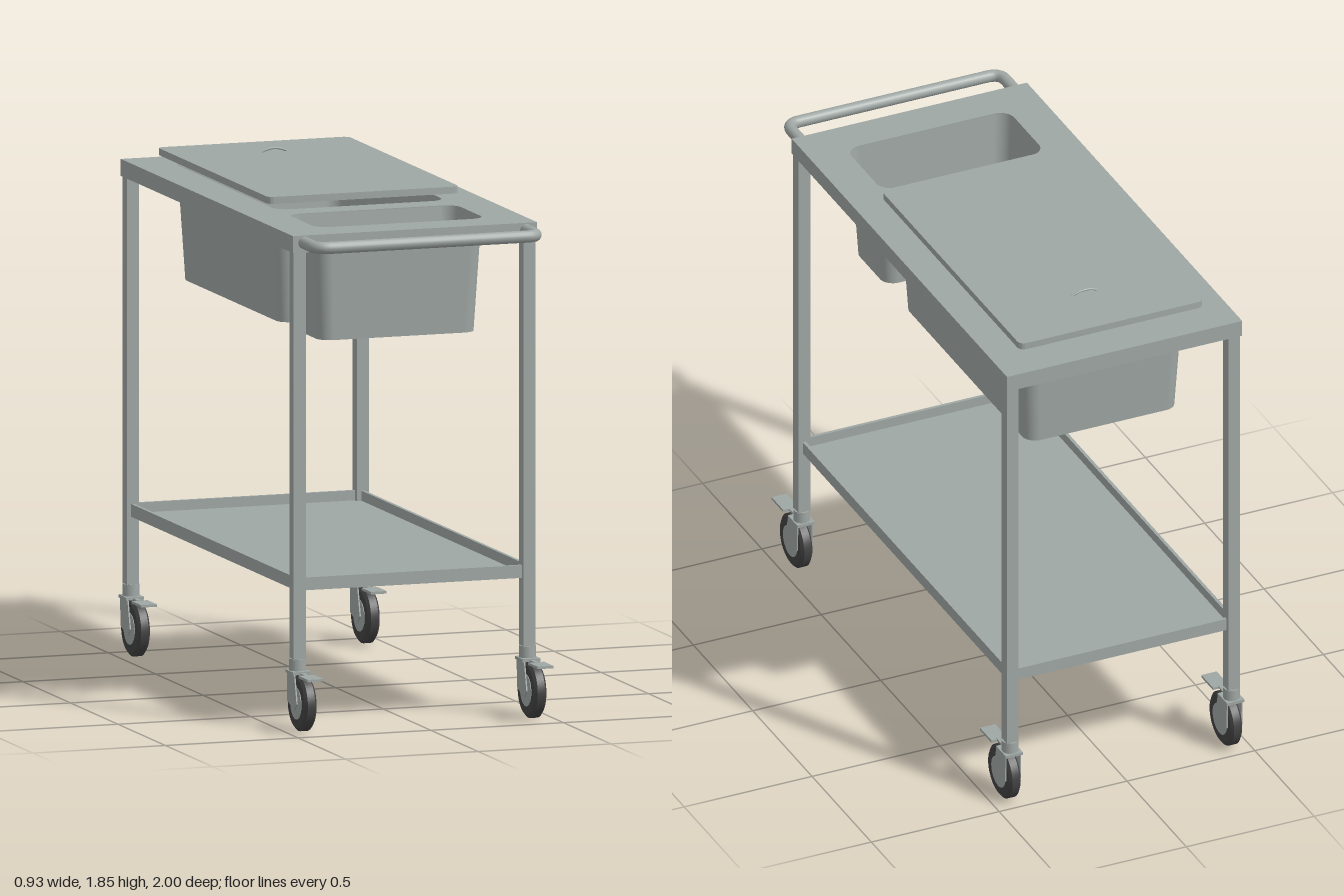
import * as THREE from 'three';
import { toCreasedNormals } from 'three/addons/utils/BufferGeometryUtils.js';

const steel = new THREE.MeshStandardMaterial({ color: 0x9fa7a4 });
steel.name = 'steel';
const sheet = new THREE.MeshStandardMaterial({ color: 0x9fa7a4, side: THREE.DoubleSide });
sheet.name = 'sheet steel';
const rubber = new THREE.MeshStandardMaterial({ color: 0x424242 });
rubber.name = 'rubber';

function add(parent, name, geometry, material = steel) {
  const mesh = new THREE.Mesh(geometry, material);
  mesh.name = name;
  parent.add(mesh);
  return mesh;
}

// Box given by its minimum and maximum on each axis
function block(x0, x1, y0, y1, z0, z1) {
  return new THREE.BoxGeometry(x1 - x0, y1 - y0, z1 - z0)
    .translate((x0 + x1) / 2, (y0 + y1) / 2, (z0 + z1) / 2);
}

// Rounded rectangle in plan; its y runs along -z so that it can be laid flat
function plan(hx, z0, z1, r, Type = THREE.Shape) {
  const s = new Type();
  const a = -z1, b = -z0;
  s.absarc(hx - r, a + r, r, -Math.PI / 2, 0);
  s.absarc(hx - r, b - r, r, 0, Math.PI / 2);
  s.absarc(-hx + r, b - r, r, Math.PI / 2, Math.PI);
  s.absarc(-hx + r, a + r, r, Math.PI, Math.PI * 1.5);
  s.closePath();
  return s;
}

function plate(shape, y0, y1) {
  const g = new THREE.ExtrudeGeometry(shape, { depth: y1 - y0, bevelEnabled: false, curveSegments: 8 });
  g.rotateX(-Math.PI / 2).translate(0, y0, 0);
  return toCreasedNormals(g, 0.6);
}

// Tapered sheet bin: walls lofted between two rounded rectangles, plus a floor
function bin(name, z0, z1) {
  const group = new THREE.Group();
  group.name = name;
  const top = plan(0.318, z0, z1, 0.055).getPoints(8);
  const base = plan(0.295, z0 + 0.023, z1 - 0.023, 0.05);
  const bottom = base.getPoints(8);
  const yTop = 1.773, yBase = 1.365;
  const pos = [], index = [];
  const n = top.length;
  for (let i = 0; i < n; i++) {
    pos.push(bottom[i].x, yBase, -bottom[i].y, top[i].x, yTop, -top[i].y);
    const a = 2 * i, b = 2 * ((i + 1) % n);
    index.push(a, b, b + 1, a, b + 1, a + 1);
  }
  const walls = new THREE.BufferGeometry();
  walls.setAttribute('position', new THREE.Float32BufferAttribute(pos, 3));
  walls.setIndex(index);
  walls.computeVertexNormals();
  add(group, name + 'Walls', walls, sheet);
  add(group, name + 'Floor',
    new THREE.ShapeGeometry(base, 8).rotateX(-Math.PI / 2).translate(0, yBase, 0), sheet);
  return group;
}

// Swivel caster, origin on the ground under the leg; the wheel trails to +z
function caster() {
  const g = new THREE.Group();
  g.name = 'caster';
  const wheelZ = 0.048;
  const profile = [[0.05, -0.023], [0.088, -0.023], [0.1, -0.014], [0.1, 0.014], [0.088, 0.023], [0.05, 0.023]]
    .map(([r, y]) => new THREE.Vector2(r, y));
  const tire = add(g, 'tire',
    toCreasedNormals(new THREE.LatheGeometry(profile, 36).rotateZ(Math.PI / 2), 0.5), rubber);
  tire.position.set(0, 0.1, wheelZ);
  const hub = add(g, 'hub', new THREE.CylinderGeometry(0.058, 0.058, 0.05, 28).rotateZ(Math.PI / 2));
  hub.position.set(0, 0.1, wheelZ);

  // Fork cheeks, drawn with shape x along -z
  const cheek = new THREE.Shape();
  cheek.moveTo(0.027, 0.2);
  cheek.lineTo(-0.05, 0.2);
  cheek.lineTo(-0.075, 0.1);
  cheek.lineTo(-0.048, 0.075);
  cheek.lineTo(0.024, 0.1);
  cheek.closePath();
  for (const side of [-1, 1]) {
    const geo = new THREE.ExtrudeGeometry(cheek, { depth: 0.005, bevelEnabled: false });
    geo.translate(0, 0, -0.0025).rotateY(Math.PI / 2);
    add(g, 'forkCheek', geo).position.x = side * 0.0285;
  }
  add(g, 'forkCrown', block(-0.034, 0.034, 0.2, 0.211, -0.035, 0.045));
  add(g, 'stem', new THREE.CylinderGeometry(0.03, 0.03, 0.045, 20).translate(0, 0.231, 0));
  add(g, 'brakeArm', block(-0.008, 0.008, 0.2, 0.207, 0.04, 0.1));
  add(g, 'brakePedal', block(-0.03, 0.03, 0.197, 0.206, 0.092, 0.19));
  return g;
}

export function createModel() {
  const cart = new THREE.Group();
  cart.name = 'serviceCart';

  // Worktop with two openings
  const bins = [['smallBin', 0.373, 0.69], ['largeBin', -0.825, 0.27]];
  const top = new THREE.Shape();
  top.moveTo(-0.46, -0.835);
  top.lineTo(0.46, -0.835);
  top.lineTo(0.46, 0.98);
  top.lineTo(-0.46, 0.98);
  top.closePath();
  for (const [name, z0, z1] of bins) {
    top.holes.push(plan(0.318, z0, z1, 0.055, THREE.Path));
    cart.add(bin(name, z0, z1));
  }
  add(cart, 'worktop', plate(top, 1.715, 1.776));

  // Lid with a small bow handle
  add(cart, 'lid', plate(plan(0.36, -0.875, 0.297, 0.025), 1.803, 1.828));
  const bow = new THREE.QuadraticBezierCurve3(
    new THREE.Vector3(-0.052, 1.826, -0.648),
    new THREE.Vector3(0, 1.856, -0.648),
    new THREE.Vector3(0.052, 1.826, -0.648));
  add(cart, 'lidHandle', new THREE.TubeGeometry(bow, 16, 0.004, 8));

  // Push bar with rounded corners
  const bar = new THREE.CurvePath();
  const v = (x, z) => new THREE.Vector3(x, 1.75, z);
  const hx = 0.418, zEnd = 0.972, r = 0.05;
  bar.add(new THREE.LineCurve3(v(-hx, 0.82), v(-hx, zEnd - r)));
  bar.add(new THREE.QuadraticBezierCurve3(v(-hx, zEnd - r), v(-hx, zEnd), v(-hx + r, zEnd)));
  bar.add(new THREE.LineCurve3(v(-hx + r, zEnd), v(hx - r, zEnd)));
  bar.add(new THREE.QuadraticBezierCurve3(v(hx - r, zEnd), v(hx, zEnd), v(hx, zEnd - r)));
  bar.add(new THREE.LineCurve3(v(hx, zEnd - r), v(hx, 0.82)));
  add(cart, 'pushBar', new THREE.TubeGeometry(bar, 100, 0.022, 16));

  // Legs and casters
  for (const x of [-0.433, 0.433]) {
    for (const z of [-0.948, 0.808]) {
      add(cart, 'leg', block(x - 0.023, x + 0.023, 0.25, 1.716, z - 0.023, z + 0.023));
      const c = caster();
      c.position.set(x, 0, z);
      cart.add(c);
    }
  }

  // Lower shelf: tray with upturned edges
  add(cart, 'shelfFloor', block(-0.44, 0.44, 0.497, 0.507, -0.955, 0.815));
  for (const s of [-1, 1]) {
    const x = s * 0.434;
    add(cart, 'shelfSideRim', block(x - 0.006, x + 0.006, 0.497, 0.543, -0.955, 0.815));
  }
  for (const z of [-0.949, 0.809]) {
    add(cart, 'shelfEndRim', block(-0.44, 0.44, 0.497, 0.543, z - 0.006, z + 0.006));
  }
  return cart;
}
